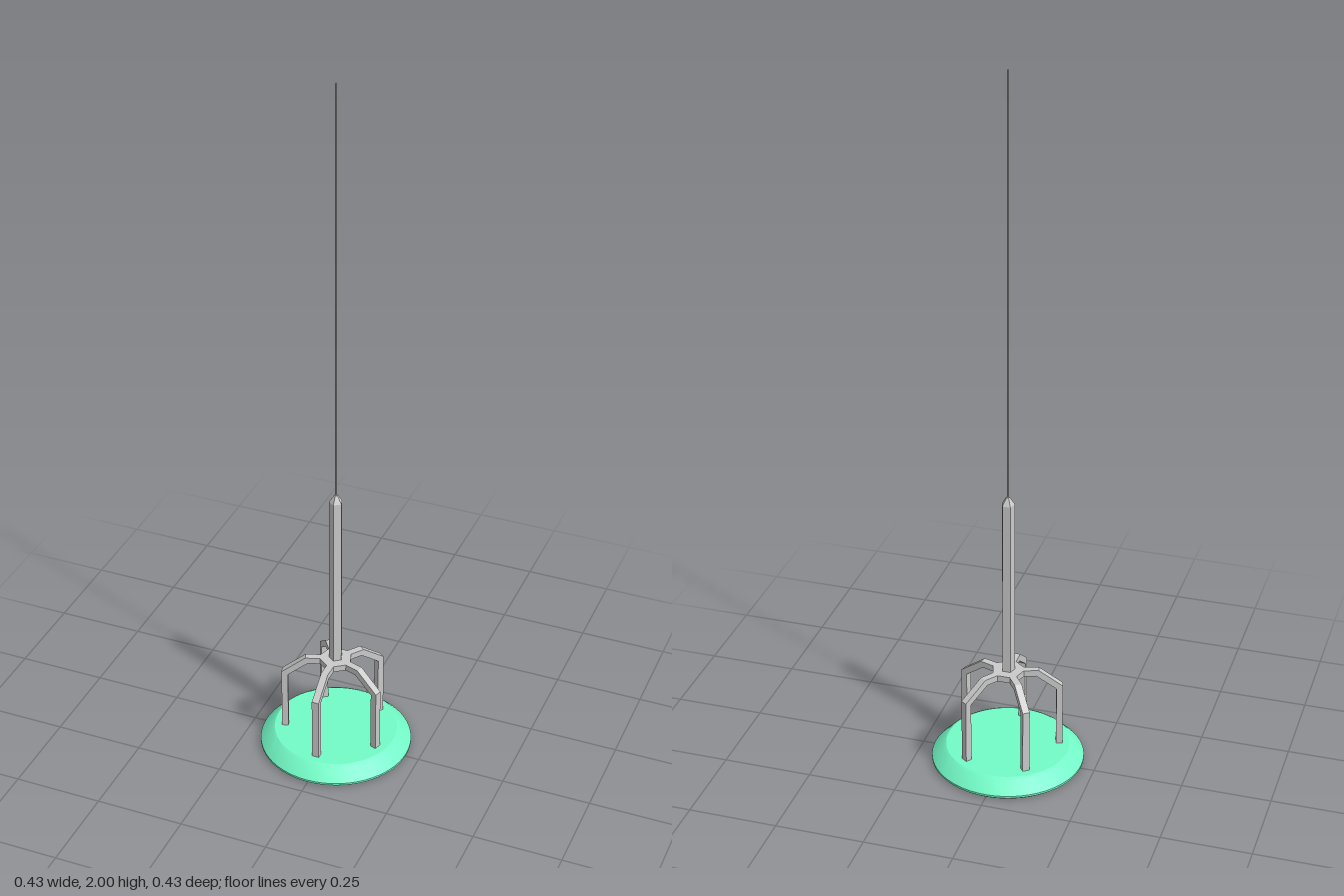
import * as THREE from 'three';
import { toCreasedNormals } from 'three/addons/utils/BufferGeometryUtils.js';

const points = (list) => list.map(([x, y]) => new THREE.Vector2(x, y));

export function createModel() {
  const model = new THREE.Group();
  const grey = new THREE.MeshStandardMaterial({ color: 0xcccccc, flatShading: true });
  const green = new THREE.MeshStandardMaterial({ color: 0x74fcc8 });

  const add = (name, geometry, material = grey, y = 0) => {
    const mesh = new THREE.Mesh(geometry, material);
    mesh.name = name;
    mesh.position.y = y;
    model.add(mesh);
    return mesh;
  };

  // Shallow hollow dish: underside, rim, sloped side, bevel, flat top
  const dish = new THREE.LatheGeometry(points([
    [0, 0.035], [0.173, 0.035], [0.203, 0.002], [0.207, 0],
    [0.213, 0.005], [0.213, 0.011], [0.182, 0.043], [0.173, 0.048], [0, 0.048],
  ]), 64);
  add('dish', toCreasedNormals(dish, 0.5), green);

  // Five bent legs, the first pointing forward
  const legShape = new THREE.Shape(points([
    [0, 0.268], [0.078, 0.268], [0.134, 0.226], [0.134, 0.033],
    [0.152, 0.033], [0.152, 0.235], [0.085, 0.286], [0, 0.286],
  ]));
  const legGeometry = new THREE.ExtrudeGeometry(legShape, { depth: 0.02, bevelEnabled: false });
  legGeometry.translate(0, 0, -0.01);
  for (let i = 0; i < 5; i++) {
    add('leg' + (i + 1), legGeometry).rotation.y = -Math.PI / 2 + (i * 2 * Math.PI) / 5;
  }

  // Five-sided hub joining the legs, with corners along the arms
  add('hub', new THREE.CylinderGeometry(0.051, 0.051, 0.018, 5), grey, 0.277);

  // Five-sided mast, its tapered cap and the thin aerial
  add('mast', new THREE.CylinderGeometry(0.019, 0.019, 0.53, 5), grey, 0.535);
  add('mastCap', new THREE.CylinderGeometry(0.005, 0.019, 0.022, 5), grey, 0.811);
  add('aerial', new THREE.CylinderGeometry(0.003, 0.003, 1.18, 8), grey, 1.41);

  return model;
}
